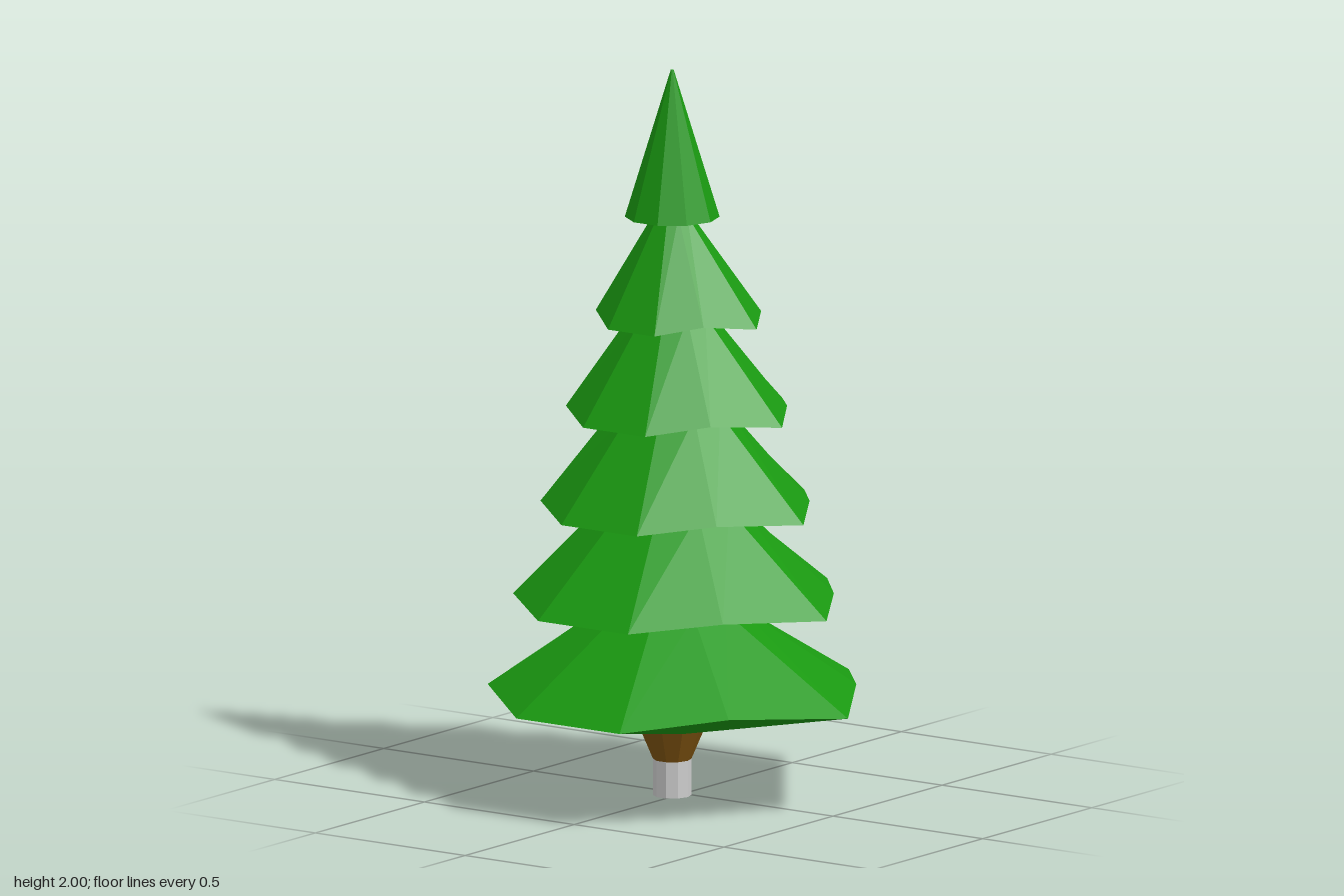
import * as THREE from 'three';

const SIDES = 10;
const AXIS = { x: -0.03, z: -0.015 }; // the trunk stands slightly off centre

const paint = (color) => new THREE.MeshStandardMaterial({ color, flatShading: true });

// Regular ring around the trunk axis, first corner at the back
function ring(radius, y, rz = radius) {
  return Array.from({ length: SIDES }, (_, i) => {
    const a = (i / SIDES) * Math.PI * 2;
    return [AXIS.x + radius * Math.sin(a), y, AXIS.z - rz * Math.cos(a)];
  });
}

// Uneven outline of the branch rims as [x, z, lift]
const OUTLINE = [
  [0, -0.55, 0], [0.265, -0.42, 1], [0.525, -0.175, 0], [0.525, 0.17, 0], [0.265, 0.385, 1],
  [0, 0.55, 0], [-0.32, 0.385, 1], [-0.525, 0.17, 0], [-0.525, -0.175, 0], [-0.32, -0.42, 1],
];
const rim = (scale, y, lift) => OUTLINE.map(([x, z, up]) => [x * scale, y + up * lift, z * scale]);

// Lopsided rim of the fifth tier as [x, y, z]
const LOPSIDED_RIM = [
  [0, 1.34, -0.245], [0.11, 1.345, -0.19], [0.185, 1.34, -0.085], [0.185, 1.34, 0.075], [0.11, 1.335, 0.18],
  [0, 1.31, 0.245], [-0.14, 1.33, 0.17], [-0.235, 1.31, 0.075], [-0.235, 1.31, -0.08], [-0.14, 1.335, -0.19],
];

// Join rings from the bottom up into a faceted skin
function loft(name, rings, material) {
  const pos = [];
  for (let r = 0; r < rings.length - 1; r++) {
    const low = rings[r], high = rings[r + 1];
    for (let i = 0; i < SIDES; i++) {
      const j = (i + 1) % SIDES;
      pos.push(...low[j], ...low[i], ...high[i], ...low[j], ...high[i], ...high[j]);
    }
  }
  const geometry = new THREE.BufferGeometry();
  geometry.setAttribute('position', new THREE.Float32BufferAttribute(pos, 3));
  geometry.computeVertexNormals();
  const mesh = new THREE.Mesh(geometry, material);
  mesh.name = name;
  return mesh;
}

export function createModel() {
  const tree = new THREE.Group();
  tree.name = 'firTree';

  // Trunk foot and the flared collar under the branches
  const foot = new THREE.Mesh(new THREE.CylinderGeometry(0.052, 0.052, 0.1, SIDES), paint(0xcccccc));
  foot.position.set(AXIS.x, 0.05, AXIS.z);
  foot.name = 'trunkFoot';
  tree.add(foot);
  tree.add(loft('trunkCollar', [ring(0.052, 0.1), ring(0.088, 0.185)], paint(0x7d5210)));

  // Branch tiers: each underside starts where the tier below ends
  const green = paint(0x1a9911);
  green.side = THREE.DoubleSide;
  const tiers = [
    [rim(1, 0.275, 0.03), ring(0.17, 0.525, 0.18)],
    [rim(0.87, 0.535, 0.02), ring(0.155, 0.81, 0.19)],
    [rim(0.73, 0.79, 0.02), ring(0.13, 1.07, 0.16)],
    [rim(0.6, 1.05, 0.022), ring(0.09, 1.335, 0.11)],
    [LOPSIDED_RIM, ring(0.045, 1.605, 0.05)],
    [ring(0.128, 1.595), ring(0.004, 2)],
  ];
  let inner = ring(0.088, 0.185);
  tiers.forEach(([edge, top], n) => {
    tree.add(loft(`branchTier${n + 1}`, [inner, edge, top], green));
    inner = top;
  });

  // Small cap closing the tip
  const tip = new THREE.Mesh(new THREE.CircleGeometry(0.004, SIDES).rotateX(-Math.PI / 2), green);
  tip.position.set(AXIS.x, 2, AXIS.z);
  tip.name = 'tip';
  tree.add(tip);

  return tree;
}
